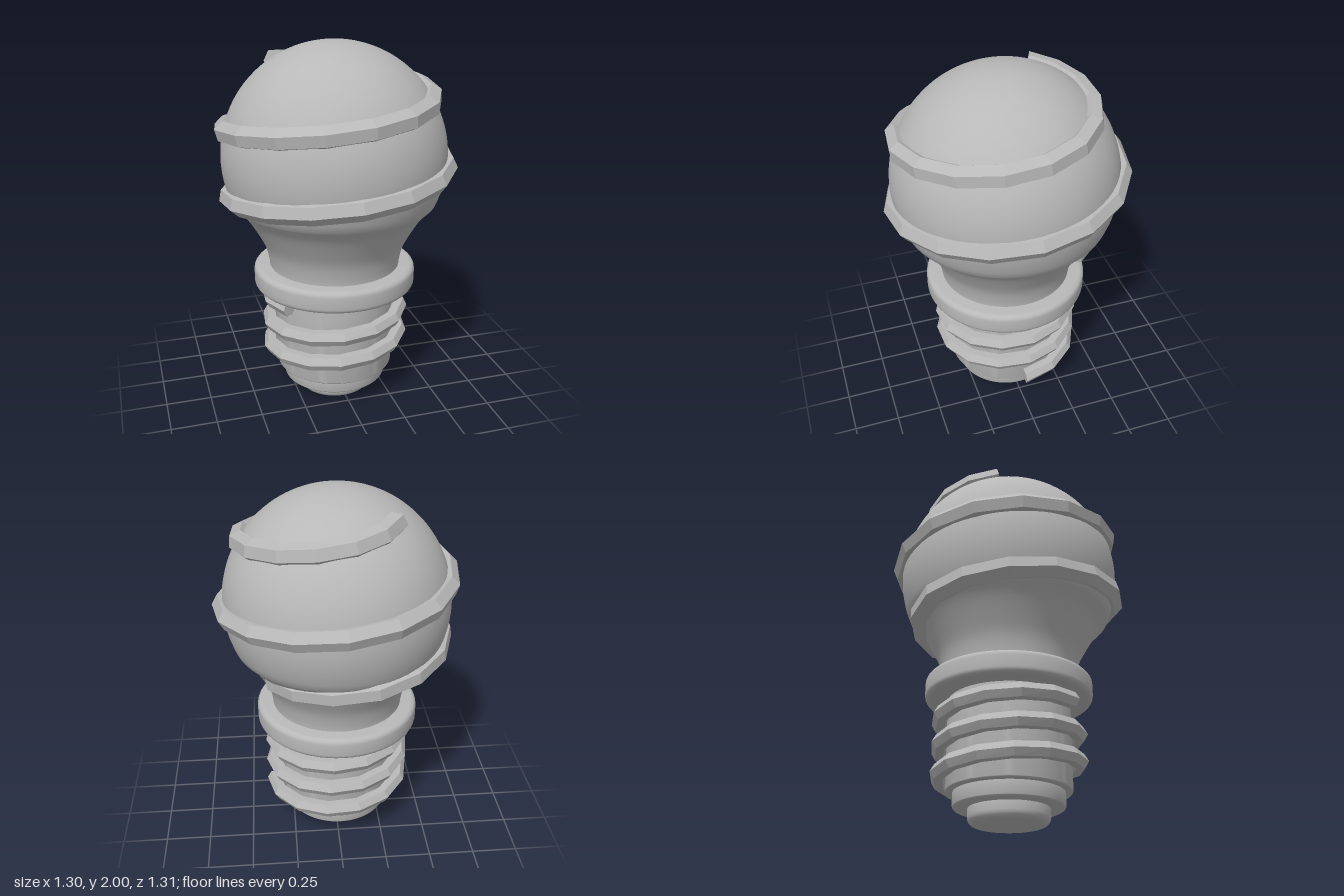
import * as THREE from 'three';
import { toCreasedNormals } from 'three/addons/utils/BufferGeometryUtils.js';

const RAD = Math.PI / 180;

// Quarter-round corner points from angle a to b (degrees)
function corner(x, y, r, a, b, n = 5) {
  const pts = [];
  for (let i = 0; i <= n; i++) {
    const t = (a + (b - a) * i / n) * RAD;
    pts.push([x + r * Math.cos(t), y + r * Math.sin(t)]);
  }
  return pts;
}

// Closed disc-like ring with rounded rims
function drumProfile(radius, y0, y1, r) {
  return [[0, y0], ...corner(radius - r, y0 + r, r, -90, 0), ...corner(radius - r, y1 - r, r, 0, 90), [0, y1]];
}

function lathe(points) {
  const g = new THREE.LatheGeometry(points.map(([x, y]) => new THREE.Vector2(Math.max(x, 0), y)), 64);
  return toCreasedNormals(g, 40 * RAD);
}

// Faceted six-sided strand that winds downwards; at(deg) gives { r, y, tilt }
function strand(from, to, segments, size, at) {
  const sides = 6, rings = [], centres = [], pos = [];
  const point = (deg) => {
    const { r, y } = at(deg);
    return new THREE.Vector3(r * Math.cos(deg * RAD), y, r * Math.sin(deg * RAD));
  };
  for (let i = 0; i <= segments; i++) {
    const deg = from + (to - from) * i / segments;
    const c = point(deg), tilt = at(deg).tilt;
    const tangent = point(deg + 1).sub(point(deg - 1)).normalize();
    const normal = new THREE.Vector3(
      Math.cos(tilt) * Math.cos(deg * RAD), Math.sin(tilt), Math.cos(tilt) * Math.sin(deg * RAD));
    normal.addScaledVector(tangent, -normal.dot(tangent)).normalize();
    const side = new THREE.Vector3().crossVectors(tangent, normal);
    centres.push(c);
    rings.push(Array.from({ length: sides }, (_, j) => {
      const a = j / sides * Math.PI * 2;
      return c.clone().addScaledVector(normal, size * Math.cos(a)).addScaledVector(side, size * Math.sin(a));
    }));
  }
  const tri = (...v) => v.forEach((p) => pos.push(p.x, p.y, p.z));
  for (let j = 0; j < sides; j++) {
    const k = (j + 1) % sides;
    for (let i = 0; i < segments; i++) {
      const a = rings[i], b = rings[i + 1];
      tri(a[j], a[k], b[j]);
      tri(a[k], b[k], b[j]);
    }
    tri(centres[0], rings[0][k], rings[0][j]);
    tri(centres[segments], rings[segments][j], rings[segments][k]);
  }
  const g = new THREE.BufferGeometry();
  g.setAttribute('position', new THREE.Float32BufferAttribute(pos, 3));
  g.computeVertexNormals();
  return g;
}

export function createModel() {
  const group = new THREE.Group();
  const grey = new THREE.MeshStandardMaterial({ color: 0xb8b8b8 });
  grey.name = 'plain grey';
  const body = new THREE.Group();
  body.name = 'lightBulb';
  body.position.set(-0.012, 0, 0.005);
  group.add(body);
  const add = (name, geometry) => {
    const mesh = new THREE.Mesh(geometry, grey);
    mesh.name = name;
    body.add(mesh);
  };

  // Glass: flared neck running into a sphere
  const R = 0.607, CY = 1.393;
  const neck = new THREE.SplineCurve([
    [0.362, 0.74], [0.364, 0.8], [0.385, 0.89], [0.43, 0.98], [0.492, 1.08],
    [R * Math.cos(-24 * RAD), CY + R * Math.sin(-24 * RAD)],
  ].map(([x, y]) => new THREE.Vector2(x, y))).getPoints(24).map((p) => [p.x, p.y]);
  add('glassBulb', lathe([...neck, ...corner(0, CY, R, -20, 90, 36)]));

  // Collar and stepped base
  add('collar', lathe(drumProfile(0.45, 0.653, 0.777, 0.03)));
  add('screwBase', lathe(drumProfile(0.329, 0.163, 0.7, 0.012)));
  add('baseStep', lathe(drumProfile(0.291, 0.083, 0.2, 0.015)));
  add('contactTip', lathe(drumProfile(0.213, 0, 0.12, 0.04)));

  // Strand wrapped round the glass, sinking in at both ends
  add('glassSpiral', strand(-142, 682, 36, 0.06, (deg) => {
    const y = 1.735 - deg * 0.001;
    const sink = 0.022 * Math.max(0, 1 - (deg + 142) / 120) + 0.06 * Math.max(0, (deg - 620) / 62);
    const d = y - CY;
    return { y, r: Math.sqrt(R * R - d * d) - 0.003 - sink, tilt: Math.asin(d / R) };
  }));

  // Screw thread
  add('screwThread', strand(147, 1080, 36, 0.044, (deg) =>
    ({ y: 0.22 + (1080 - deg) * 0.000415, r: 0.371, tilt: 0 })));

  return group;
}
